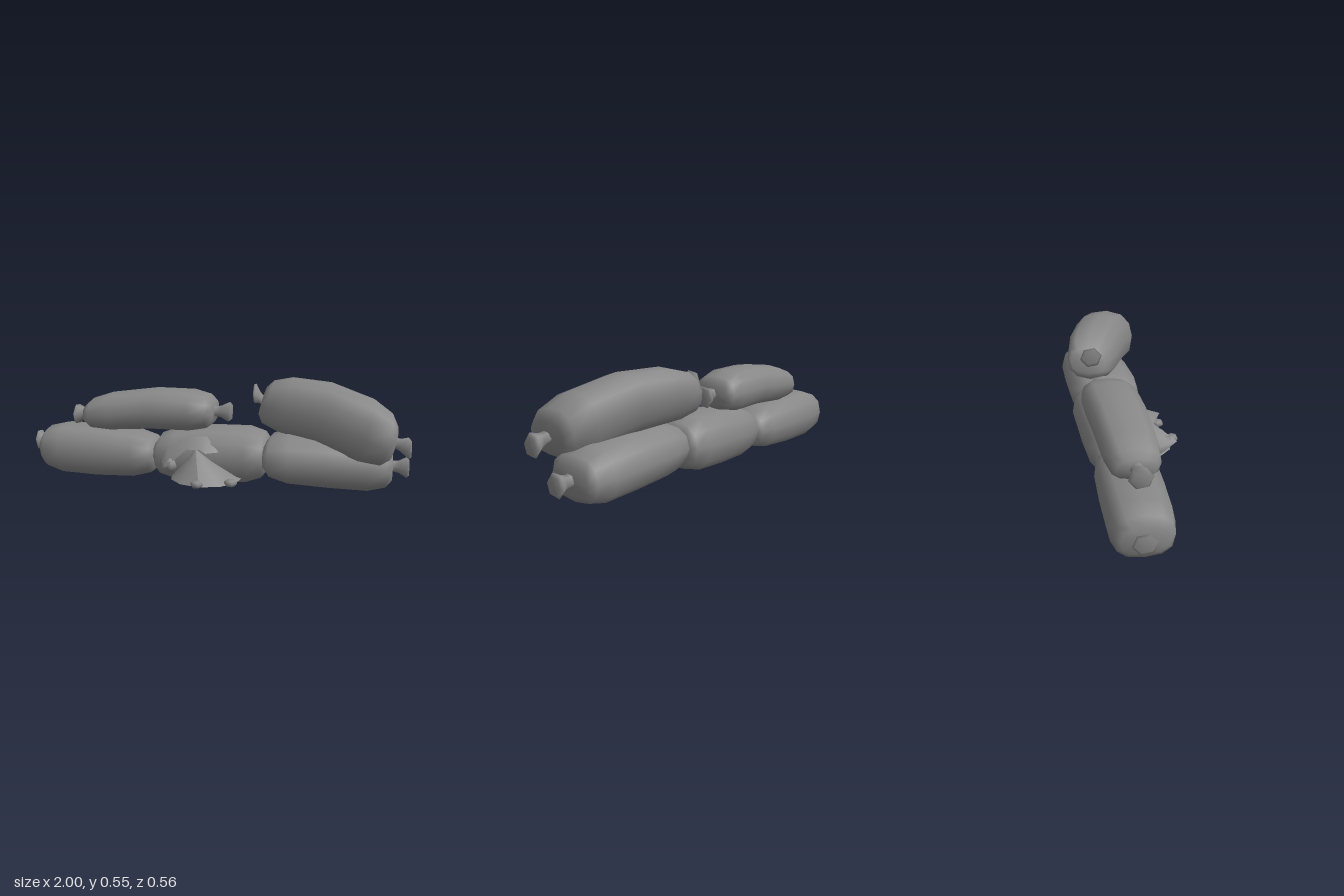
import * as THREE from 'three';

const burlap = new THREE.MeshStandardMaterial({ color: 0x888888, side: THREE.DoubleSide });
burlap.name = 'greyBurlap';

function surface(pos, idx) {
  const g = new THREE.BufferGeometry();
  g.setAttribute('position', new THREE.Float32BufferAttribute(pos, 3));
  g.setIndex(idx);
  g.computeVertexNormals();
  return g;
}

// Closed skin through rounded sections; each has a centre, half height, half depth, lean and roll
function loft(sections, sides, power, turn) {
  const pos = [], idx = [], n = sections.length;
  const bend = (v) => Math.sign(v) * Math.pow(Math.abs(v), power);
  for (const { c, hy, hz, lean = 0, roll = 0 } of sections) {
    for (let j = 0; j < sides; j++) {
      const a = ((j + turn) / sides) * Math.PI * 2;
      const dy = bend(Math.cos(a)) * hy, dz = bend(Math.sin(a)) * hz;
      pos.push(c.x + lean * dy, c.y + dy - roll * dz, c.z + dz);
    }
  }
  const first = n * sides, end = first - sides;
  pos.push(...sections[0].c.toArray(), ...sections[n - 1].c.toArray());
  for (let j = 0; j < sides; j++) {
    const k = (j + 1) % sides;
    for (let p = 0; p < end; p += sides) {
      const q = p + sides;
      idx.push(p + j, p + k, q + j, p + k, q + k, q + j);
    }
    idx.push(first, k, j, first + 1, end + j, end + k);
  }
  return surface(pos, idx);
}

function add(parent, name, geometry) {
  const mesh = new THREE.Mesh(geometry, burlap);
  mesh.name = name;
  parent.add(mesh);
  return mesh;
}

// Flared tied end from a bag's end point out to a tip
function addKnot(parent, name, neck, tip) {
  const sections = [[-0.4, 0.045], [0.1, 0.03], [0.4, 0.035], [0.85, 0.058], [1, 0.045]].map(
    ([t, r]) => ({ c: neck.clone().lerp(tip, t), hy: r, hz: r }));
  if (tip.x < neck.x) sections.reverse();
  add(parent, name, loft(sections, 6, 1, 0.35));
}

// Filled bag: a bent axis, a size at both ends and a shared plump profile, wider than tall at its seams
const plump = [[0, 0.48], [0.045, 0.76], [0.19, 0.96], [0.5, 1], [0.81, 0.96], [0.95, 0.76], [1, 0.48]];
function addBag(model, name, { axis, from, to, lean, roll, startTip, endTip }) {
  const bag = new THREE.Group();
  bag.name = name;
  const points = axis.map((v) => new THREE.Vector3(...v));
  const curve = new THREE.CatmullRomCurve3(points);
  const sections = plump.map(([t, s]) => ({
    c: curve.getPoint(t),
    hy: s * THREE.MathUtils.lerp(from[0], to[0], t),
    hz: Math.pow(s, 0.5) * THREE.MathUtils.lerp(from[1], to[1], t),
    lean,
    roll,
  }));
  add(bag, name + 'Body', loft(sections, 12, 0.8, 0));
  if (startTip) addKnot(bag, name + 'StartKnot', points[0], new THREE.Vector3(...startTip));
  if (endTip) addKnot(bag, name + 'EndKnot', points[2], new THREE.Vector3(...endTip));
  model.add(bag);
}

export function createModel() {
  const model = new THREE.Group();
  model.name = 'sandbagPile';

  // Bottom row
  addBag(model, 'lowerRightBag', {
    axis: [[-0.945, 0.155, -0.04], [-0.63, 0.141, -0.045], [-0.3, 0.133, -0.05]],
    from: [0.145, 0.152], to: [0.123, 0.16], startTip: [-1, 0.18, -0.05],
  });
  addBag(model, 'tornMiddleBag', {
    axis: [[-0.31, 0.145, -0.05], [-0.01, 0.153, -0.07], [0.285, 0.155, -0.085]],
    from: [0.14, 0.16], to: [0.152, 0.19],
  });
  addBag(model, 'lowerLeftBag', {
    axis: [[0.27, 0.165, -0.055], [0.6, 0.147, -0.085], [0.915, 0.12, -0.115]],
    from: [0.137, 0.205], to: [0.136, 0.175], endTip: [1, 0.115, -0.12],
  });

  // Top row
  addBag(model, 'upperLeftBag', {
    axis: [[0.235, 0.425, -0.165], [0.56, 0.398, -0.065], [0.91, 0.285, 0.04]],
    from: [0.138, 0.132], to: [0.155, 0.158], lean: 0.25, roll: 0.12,
    startTip: [0.19, 0.47, -0.15], endTip: [0.995, 0.255, 0.04],
  });
  addBag(model, 'upperRightBag', {
    axis: [[-0.695, 0.345, -0.04], [-0.33, 0.381, -0.07], [-0.01, 0.37, -0.1]],
    from: [0.102, 0.132], to: [0.115, 0.148],
    startTip: [-0.765, 0.335, -0.03], endTip: [0.075, 0.365, -0.12],
  });

  // Spilled sand: a sloping heap whose peak leans back into the tear
  const heap = new THREE.ConeGeometry(1, 1, 11, 3);
  const p = heap.attributes.position;
  for (let i = 0; i < p.count; i++) {
    const h = p.getY(i) + 0.5;
    p.setXYZ(i, -0.02 - 0.05 * h + p.getX(i) * 0.185, 0.058 + 0.15 * h, 0.08 + 0.02 * h + p.getZ(i) * 0.17);
  }
  heap.computeVertexNormals();
  add(model, 'spilledSand', heap);

  // Lumps along the foot of the heap
  const lumps = [[-0.03, 0.073, 0.25], [0.13, 0.075, 0.2], [-0.18, 0.145, 0.19]];
  lumps.forEach((at, i) => {
    const lump = add(model, 'sandLump' + (i + 1), new THREE.SphereGeometry(0.034, 6, 4));
    lump.position.set(...at);
    lump.scale.y = i === 2 ? 1.1 : 0.6;
    lump.rotation.y = i;
  });

  // Crumpled cloth around the tear: inner edge on the bag, outer edge peeled forward
  const inner = [[0.05, 0.2, 0.1], [-0.02, 0.27, 0.06], [-0.12, 0.265, 0.06],
    [-0.22, 0.22, 0.08], [-0.27, 0.15, 0.07], [-0.27, 0.08, 0.07]];
  const outer = [[-0.01, 0.2, 0.14], [-0.03, 0.23, 0.18], [-0.11, 0.215, 0.135],
    [-0.19, 0.15, 0.245], [-0.23, 0.12, 0.17], [-0.2, 0.075, 0.13]];
  const idx = [];
  for (let i = 0; i < 5; i++) idx.push(i, i + 1, i + 6, i + 1, i + 7, i + 6);
  add(model, 'tornFlap', surface([...inner, ...outer].flat(), idx));

  return model;
}
